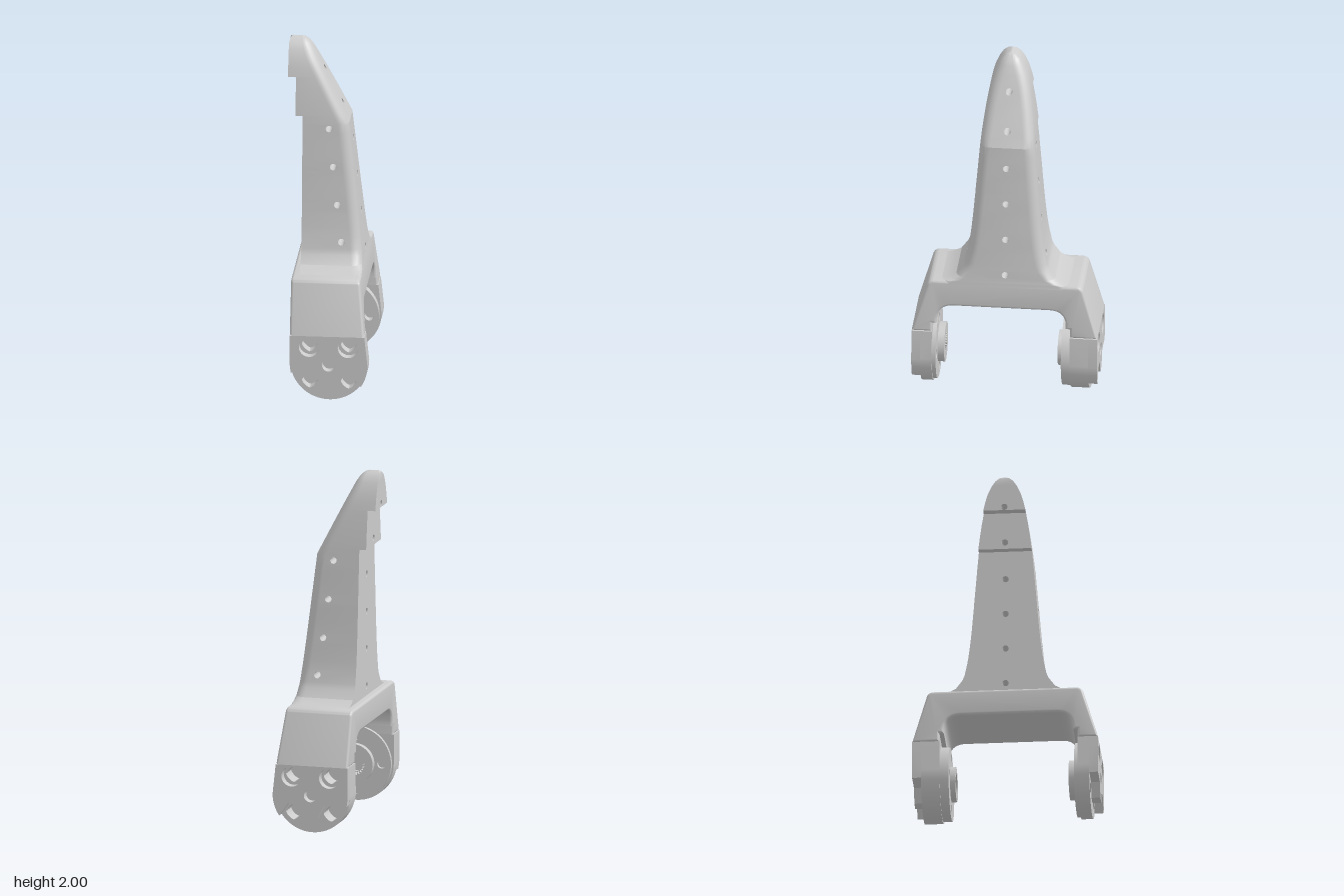
import * as THREE from 'three';
import { toCreasedNormals } from 'three/addons/utils/BufferGeometryUtils.js';

const V3 = THREE.Vector3;
const V2 = THREE.Vector2;
const grey = new THREE.MeshStandardMaterial({ color: 0xcccccc });
const grey2 = new THREE.MeshStandardMaterial({ color: 0xcccccc, side: THREE.DoubleSide });
const CX = 0.02, CY = 0.22; // joint axis

function add(parent, name, geometry, material = grey) {
  const mesh = new THREE.Mesh(geometry, material);
  mesh.name = name;
  parent.add(mesh);
  return mesh;
}

const circle = (x, y, r) => new THREE.Path().absarc(x, y, r, 0, Math.PI * 2, true);

function extrude(shape, z0, z1) {
  const g = new THREE.ExtrudeGeometry(shape, { depth: z1 - z0, bevelEnabled: false, curveSegments: 32 });
  return toCreasedNormals(g.translate(0, 0, z0), 0.4);
}

// front edge of the leg, seen from the side: steep below the knee, sloped above
function frontX(y) {
  if (y <= 1.525) return 0.10 + (1.525 - y) * 0.1077;
  const top = { 1.97: -0.128, 1.99: -0.15, 2: -0.175 };
  return top[y] ?? 0.10 - (y - 1.525) * 0.5;
}

// Tower: rings of [y, half width, back x]; two rings at one height make a step
const levels = [
  [0.68, 0.38, -0.16], [0.70, 0.36, -0.16], [0.71, 0.318, -0.16], [0.73, 0.28, -0.16], [0.78, 0.243, -0.16],
  [0.81, 0.231, -0.16], [0.88, 0.216, -0.16], [0.93, 0.208, -0.16], [1.01, 0.198, -0.16], [1.03, 0.196, -0.16],
  [1.09, 0.19, -0.16], [1.15, 0.185, -0.16], [1.22, 0.179, -0.16], [1.25, 0.177, -0.16], [1.31, 0.172, -0.16],
  [1.37, 0.167, -0.16], [1.43, 0.162, -0.16], [1.47, 0.159, -0.16], [1.525, 0.154, -0.16], [1.57, 0.15, -0.16],
  [1.57, 0.15, -0.20], [1.58, 0.149, -0.20], [1.64, 0.142, -0.20], [1.72, 0.131, -0.20], [1.79, 0.119, -0.20],
  [1.79, 0.119, -0.245], [1.84, 0.108, -0.245], [1.89, 0.093, -0.245], [1.94, 0.07, -0.245],
  [1.97, 0.05, -0.245], [1.99, 0.027, -0.24], [2, 0.003, -0.23],
];

// holes through the tower, along x (centre line) and along z
const towerHoles = [
  ...[0.755, 0.97, 1.185, 1.4, 1.61, 1.81].map(y => ({ axis: 'x', c: 0, y })),
  ...[[-0.01, 1.5], [0.015, 1.28], [0.04, 1.06], [0.065, 0.85]].map(([c, y]) => ({ axis: 'z', c, y })),
];

function towerGeometry() {
  const ARC = 6, HOLE = 16, R = 0.019;
  const out = [];
  const tri = (...p) => p.forEach(v => out.push(v.x, v.y, v.z));
  const rings = levels.map(([y, w, back]) => {
    const f = frontX(y), r = Math.min(0.06, w * 0.75), ring = [new V3(back, y, w)];
    for (let i = 0; i <= ARC; i++) {
      const a = Math.PI / 2 * i / ARC;
      ring.push(new V3(f - r + r * Math.sin(a), y, w - r + r * Math.cos(a)));
    }
    const half = ring.slice().reverse().map(p => new V3(p.x, y, -p.z));
    return [...ring, ...half];
  });
  const n = rings[0].length;
  // wide faces that may carry holes: side, front, other side, back
  const faceAxis = { 0: 'z', [ARC + 1]: 'x', [n - 2]: 'z', [n - 1]: 'x' };
  const loops = new Map();
  for (let i = 0; i < rings.length - 1; i++) {
    for (let k = 0; k < n; k++) {
      const m = (k + 1) % n;
      const a = rings[i][k], b = rings[i][m], c = rings[i + 1][m], d = rings[i + 1][k];
      const hole = towerHoles.find(h => h.axis === faceAxis[k] && h.y > a.y && h.y < d.y);
      if (!hole) {
        tri(a, b, c, a, c, d);
        continue;
      }
      const u = hole.axis === 'z' ? 'x' : 'z', sign = Math.sign(b[u] - a[u]);
      const loop = [];
      for (let j = 0; j < HOLE; j++) {
        const t = Math.PI * 2 * j / HOLE, p = new V3();
        p.y = hole.y + R * Math.sin(t);
        p[u] = hole.c + R * Math.cos(t);
        p[hole.axis] = THREE.MathUtils.mapLinear(p.y, a.y, d.y, a[hole.axis], d[hole.axis]);
        loop.push(p);
      }
      loops.set(hole, [...(loops.get(hole) ?? []), loop]);
      const inner = sign > 0 ? loop.slice().reverse() : loop;
      const flat = p => new V2(p[u] * sign, p.y);
      const all = [a, b, c, d, ...inner];
      THREE.ShapeUtils.triangulateShape([a, b, c, d].map(flat), [inner.map(flat)])
        .forEach(t => tri(...t.map(q => all[q])));
    }
  }
  // bore walls
  for (const [p, q] of loops.values()) {
    if (!q) continue;
    for (let j = 0; j < HOLE; j++) {
      const e = (j + 1) % HOLE;
      tri(p[j], p[e], q[e], p[j], q[e], q[j]);
    }
  }
  const top = rings.at(-1);
  for (let k = 1; k < n - 1; k++) tri(top[0], top[k], top[k + 1]);
  const g = new THREE.BufferGeometry();
  g.setAttribute('position', new THREE.Float32BufferAttribute(out, 3));
  return toCreasedNormals(g, 0.35);
}

// Yoke: bridge and upper arms, profile across the width (-z to the right)
function yokeGeometry() {
  const s = new THREE.Shape();
  s.moveTo(-0.525, 0.39).lineTo(-0.41, 0.39).lineTo(-0.41, 0.44).lineTo(-0.385, 0.44);
  s.lineTo(-0.385, 0.46).bezierCurveTo(-0.38, 0.52, -0.35, 0.55, -0.29, 0.55);
  s.lineTo(0.25, 0.55).bezierCurveTo(0.31, 0.55, 0.345, 0.52, 0.345, 0.46);
  s.lineTo(0.345, 0.44).lineTo(0.37, 0.44).lineTo(0.37, 0.39).lineTo(0.525, 0.39);
  s.lineTo(0.443, 0.67).quadraticCurveTo(0.434, 0.70, 0.40, 0.70);
  s.lineTo(-0.40, 0.70).quadraticCurveTo(-0.434, 0.70, -0.443, 0.67);
  s.closePath();
  const b = 0.015;
  const g = new THREE.ExtrudeGeometry(s, {
    depth: 0.388 - 2 * b, bevelThickness: b, bevelSize: b, bevelOffset: -b, bevelSegments: 4, curveSegments: 10,
  });
  g.rotateY(Math.PI / 2).translate(-0.2 + b, 0, 0);
  const p = g.attributes.position;
  for (let i = 0; i < p.count; i++) {
    if (p.getX(i) > 0) p.setX(i, p.getX(i) + (0.7 - p.getY(i)) * 0.1077);
  }
  return toCreasedNormals(g, 0.5);
}

// rounded diamond hole
function diamond(x, y, r) {
  const pts = [];
  for (let i = 0; i < 24; i++) {
    const a = -Math.PI * 2 * i / 24;
    const k = r / Math.pow(Math.abs(Math.cos(a)) ** 1.4 + Math.abs(Math.sin(a)) ** 1.4, 1 / 1.4);
    pts.push(new V2(x + k * Math.cos(a), y + k * Math.sin(a)));
  }
  return new THREE.Path(pts);
}

// Lower arm with its bearing disc, built towards +z
function lowerArm(inner, discIn, hubIn, splined) {
  const arm = new THREE.Group();
  const mid = 0.475;

  const core = new THREE.Shape();
  core.moveTo(-0.2, 0.39).lineTo(-0.2, CY).absarc(CX, CY, 0.22, Math.PI, Math.PI * 2, false);
  core.lineTo(0.222, 0.39).closePath();
  for (const sx of [-1, 1]) for (const sy of [-1, 1]) core.holes.push(diamond(CX + sx * 0.11, CY + sy * 0.108, 0.045));
  add(arm, 'armCore', extrude(core, inner, mid));

  // outer cover with a scalloped lower edge
  const cover = new THREE.Shape();
  cover.moveTo(-0.2, 0.39).lineTo(-0.2, CY);
  [[-0.194, 0.17], [-0.13, 0.175], [-0.06, 0.17], [-0.02, 0.09], [0.04, 0.085], [0.08, 0.17], [0.15, 0.17]]
    .forEach(([x, y]) => cover.lineTo(x, y));
  cover.absarc(CX, CY, 0.22, -0.6, 0, false);
  cover.lineTo(0.222, 0.39).closePath();
  cover.holes.push(circle(CX - 0.11, 0.325, 0.058), circle(CX + 0.11, 0.325, 0.058), circle(CX, CY, 0.037));
  add(arm, 'armCover', extrude(cover, mid, 0.525));

  const disc = new THREE.Shape().absarc(CX, CY, 0.21, 0, Math.PI * 2, false);
  for (let i = 0; i < 4; i++) {
    const a = i * Math.PI / 2;
    disc.holes.push(circle(CX + 0.155 * Math.cos(a), CY + 0.155 * Math.sin(a), 0.026));
  }
  disc.holes.push(circle(CX, CY, 0.05));
  add(arm, 'bearingDisc', extrude(disc, discIn, inner + 0.002));

  const hub = new THREE.Shape().absarc(CX, CY, splined ? 0.113 : 0.1, 0, Math.PI * 2, false);
  if (splined) {
    const teeth = [];
    for (let i = 0; i < 96; i++) {
      const a = -Math.PI * 2 * i / 96, r = i % 4 < 2 ? 0.066 : 0.054;
      teeth.push(new V2(CX + r * Math.cos(a), CY + r * Math.sin(a)));
    }
    hub.holes.push(new THREE.Path(teeth));
  } else hub.holes.push(circle(CX, CY, 0.065));
  add(arm, splined ? 'splinedHub' : 'plainHub', extrude(hub, hubIn, discIn));
  return arm;
}

export function createModel() {
  const model = new THREE.Group();
  model.name = 'forkedLink';
  add(model, 'tower', towerGeometry(), grey2);
  add(model, 'yoke', yokeGeometry());

  const frontArm = lowerArm(0.41, 0.388, 0.35, true);
  frontArm.name = 'frontArm';
  const backArm = lowerArm(0.37, 0.32, 0.29, false);
  backArm.name = 'backArm';
  backArm.scale.z = -1;
  model.add(frontArm, backArm);
  return model;
}
